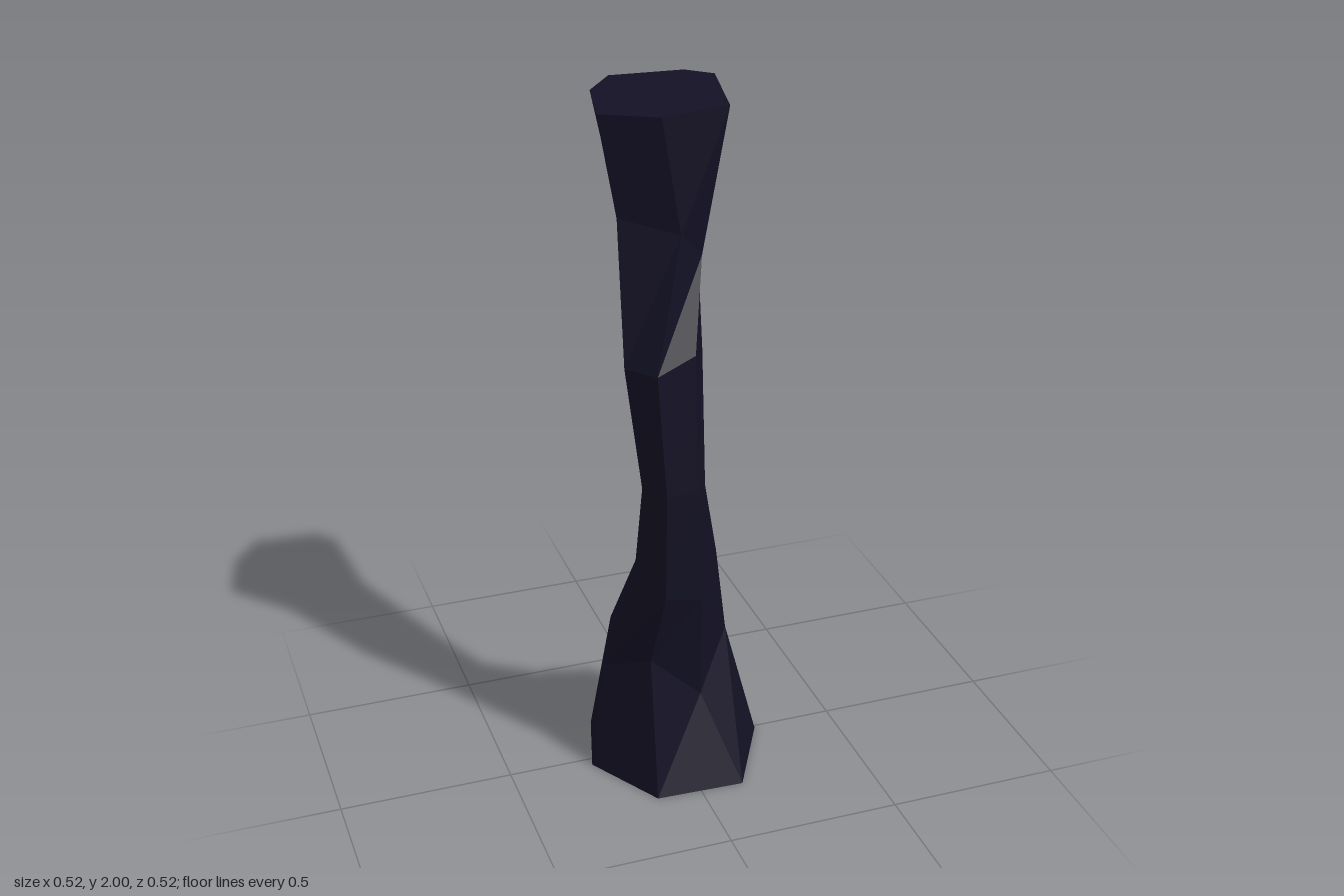
import * as THREE from 'three';

// Seven long edges of the twisted column, each running from foot to top as [x, y, z]
const frontLeft = [[-.13, 0, .25], [-.125, .42, .175], [-.1, .65, .235], [-.1, .97, .245], [-.12, 1.32, .23], [-.035, 1.68, .17], [-.09, 2, .18]];
const frontRight = [[.125, 0, .26], [.03, .27, .16], [.01, .62, .22], [-.01, .97, .235], [-.01, 1.36, .215], [.04, 1.6, .12], [.105, 2, .14]];
const right = [[.26, 0, .01], [.16, .38, .01], [.095, .7, .1], [.035, .95, .17], [.05, 1.32, .1], [.065, 1.7, 0], [.165, 2, -.135]];
const backRight = [[.14, 0, -.19], [.1, .5, -.11], [.06, .71, .02], [.02, 1, .12], [.02, 1.32, .06], [.04, 1.75, -.1], [.1, 2, -.195]];
const back = [[-.09, 0, -.26], [-.05, .5, -.145], [-.03, .71, -.015], [-.04, 1.04, .085], [-.07, 1.32, .035], [-.08, 1.78, -.14], [-.105, 2, -.21]];
const backLeft = [[-.2, 0, -.18], [-.15, .4, -.12], [-.1, .7, .02], [-.1, 1.02, .11], [-.14, 1.32, .06], [-.14, 1.72, -.06], [-.19, 2, -.1]];
const left = [[-.26, 0, .03], [-.22, .34, .03], [-.155, .66, .12], [-.145, .97, .17], [-.185, 1.32, .15], [-.185, 1.72, .1], [-.235, 2, .1]];

// Joins neighbouring edges with facets and closes both ends
function loftEdges(edges) {
  const sides = edges.length, rings = edges[0].length, last = rings - 1;
  const index = [];
  const id = (side, ring) => (side % sides) * rings + ring;
  for (let s = 0; s < sides; s++) {
    for (let r = 0; r < last; r++) {
      const a = id(s, r), b = id(s + 1, r), c = id(s + 1, r + 1), d = id(s, r + 1);
      index.push(a, b, c, a, c, d);
    }
  }
  for (let s = 1; s < sides - 1; s++) {
    index.push(id(0, last), id(s, last), id(s + 1, last));
    index.push(id(0, 0), id(s + 1, 0), id(s, 0));
  }
  const geometry = new THREE.BufferGeometry();
  geometry.setAttribute('position', new THREE.Float32BufferAttribute(edges.flat(2), 3));
  geometry.setIndex(index);
  const faceted = geometry.toNonIndexed();
  faceted.computeVertexNormals();
  return faceted;
}

export function createModel() {
  const group = new THREE.Group();
  group.name = 'stonePillar';
  const material = new THREE.MeshStandardMaterial({ color: 0x131124, flatShading: true });
  const column = new THREE.Mesh(
    loftEdges([frontLeft, frontRight, right, backRight, back, backLeft, left]), material);
  column.name = 'column';
  group.add(column);
  return group;
}
